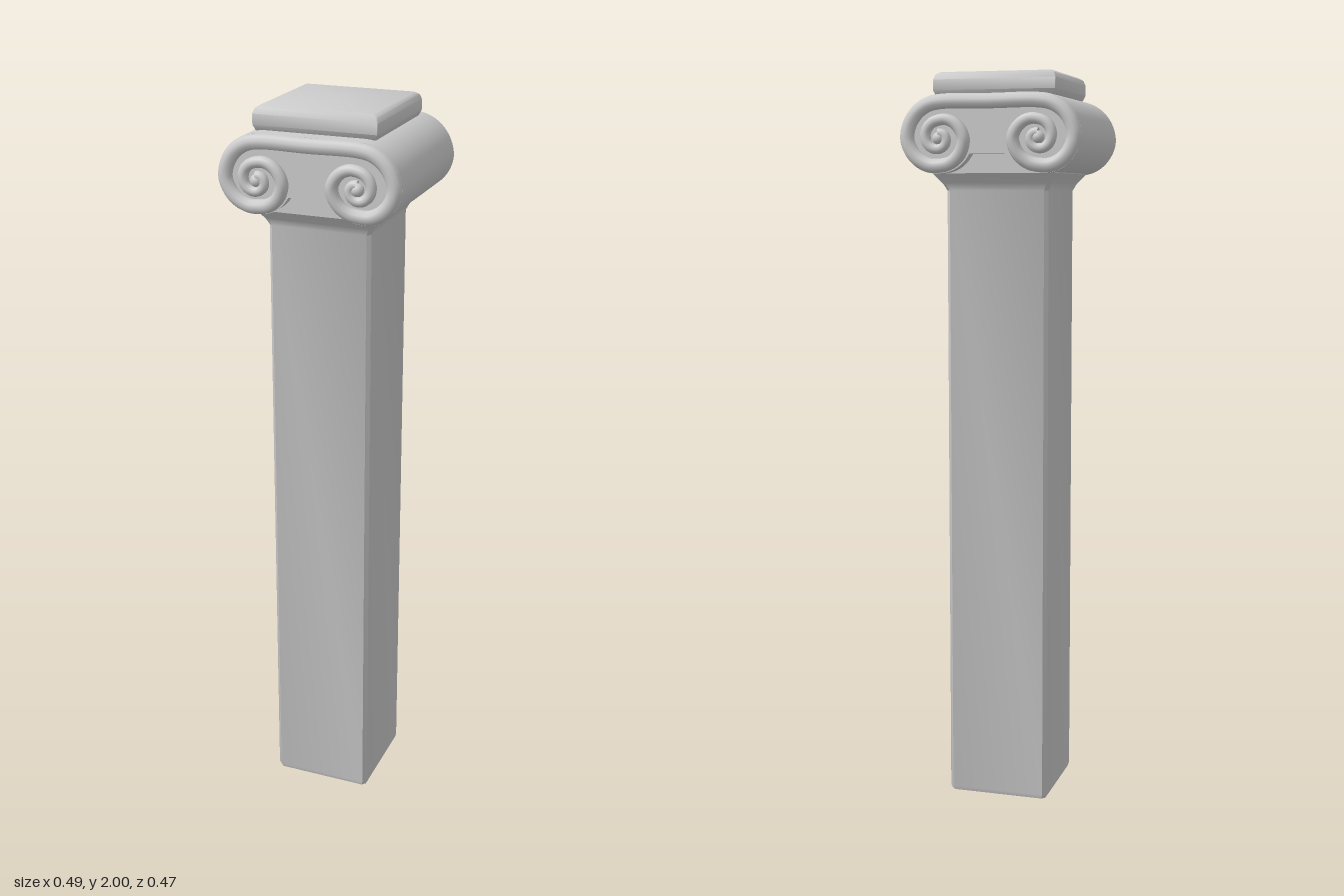
import * as THREE from 'three';
import { toCreasedNormals } from 'three/addons/utils/BufferGeometryUtils.js';

const material = new THREE.MeshStandardMaterial({ color: 0xcccccc, side: THREE.DoubleSide });

function part(name, geometry, z = 0) {
  const mesh = new THREE.Mesh(geometry, material);
  mesh.name = name;
  mesh.position.z = z;
  return mesh;
}

// Square section with narrow bevelled corners, lofted through [halfWidth, y] pairs
function squareLoft(profile, bevel, crease) {
  const geo = new THREE.LatheGeometry(profile.map(([r, y]) => new THREE.Vector2(r, y)), 8);
  const pos = geo.attributes.position;
  for (let i = 0; i < pos.count; i++) {
    const r = profile[i % profile.length][0];
    const j = Math.floor(i / profile.length) % 8;
    const inner = Math.max(r - bevel, 0);
    let [x, z] = j % 2 ? [r, inner] : [inner, r];
    for (let k = 0; k < Math.floor(j / 2); k++) [x, z] = [z, -x];
    pos.setX(i, x);
    pos.setZ(i, z);
  }
  return toCreasedNormals(geo, crease);
}

// Volute spiral: radius at each quarter turn, clockwise from the top
const CX = 0.135, CY = 1.825;
const RADII = [0.095, 0.092, 0.07, 0.068, 0.047, 0.036, 0.028, 0.02, 0.012];
function spiral(q, extra = 0) {
  const i = Math.min(Math.floor(q), RADII.length - 2);
  const r = THREE.MathUtils.lerp(RADII[i], RADII[i + 1], q - i) + extra;
  const a = q * Math.PI / 2;
  return [CX + r * Math.sin(a), CY + r * Math.cos(a)];
}

// Scroll body: outline of both volutes joined by a straight web
function bodyGeometry(depth) {
  const right = [];
  for (let q = 0; q <= 2.7; q += 0.075) right.push(spiral(q, 0.02));
  right.push([0.055, 1.785]);
  const left = right.map(([x, y]) => [-x, y]).reverse();
  const shape = new THREE.Shape([...right, ...left].map(([x, y]) => new THREE.Vector2(x, y)));
  const geo = new THREE.ExtrudeGeometry(shape, { depth, bevelEnabled: false });
  geo.translate(0, 0, -depth / 2);
  return toCreasedNormals(geo, 0.6);
}

// Rounded rim running from one eye across the top to the other, thinning toward the eyes
function rimGeometry() {
  const right = [];
  for (let q = 0; q <= 8; q += 0.25) {
    const [x, y] = spiral(q);
    right.push(new THREE.Vector3(x, y, 0.015 * THREE.MathUtils.smoothstep(q, 1.8, 3.2)));
  }
  const left = right.map((p) => new THREE.Vector3(-p.x, p.y, p.z)).reverse();
  const path = new THREE.CatmullRomCurve3([...left, new THREE.Vector3(0, 1.92, 0), ...right]);
  const segments = 260, sides = 10, radius = 0.02;
  const geo = new THREE.TubeGeometry(path, segments, radius, sides);
  const pos = geo.attributes.position, v = new THREE.Vector3();
  for (let i = 0; i <= segments; i++) {
    const u = i / segments;
    const centre = path.getPointAt(u);
    const scale = 1 - 0.35 * THREE.MathUtils.smoothstep(Math.abs(u - 0.5) * 2, 0.35, 1);
    for (let j = 0; j <= sides; j++) {
      const n = i * (sides + 1) + j;
      v.fromBufferAttribute(pos, n).sub(centre).multiplyScalar(scale).add(centre);
      pos.setXYZ(n, v.x, v.y, v.z);
    }
  }
  return geo;
}

export function createModel() {
  const model = new THREE.Group();
  model.name = 'column';

  // Hollow shaft, open below, flaring into the neck
  model.add(part('shaft', squareLoft([
    [0.137, 0], [0.141, 0.012], [0.141, 1.69], [0.15, 1.708], [0.172, 1.735], [0.172, 1.8],
  ], 0.01, 0.6)));

  // Scroll capital
  model.add(part('scrollBody', bodyGeometry(0.41)));
  const rim = rimGeometry();
  const eye = new THREE.SphereGeometry(0.017, 16, 10);
  for (const [side, turn] of [['front', 0], ['back', Math.PI]]) {
    const face = new THREE.Group();
    face.name = side + 'Volutes';
    face.rotation.y = turn;
    face.add(part('voluteRim', rim, 0.205));
    for (const x of [-CX, CX]) {
      const mesh = part('voluteEye', eye, 0.218);
      mesh.position.x = x;
      mesh.position.y = CY;
      face.add(mesh);
    }
    model.add(face);
  }

  // Cushion-edged slab on top
  model.add(part('abacus', squareLoft([
    [0, 1.93], [0.15, 1.93], [0.162, 1.938], [0.168, 1.952],
    [0.168, 1.98], [0.163, 1.993], [0.152, 2], [0, 2],
  ], 0.002, 0.75)));

  return model;
}
